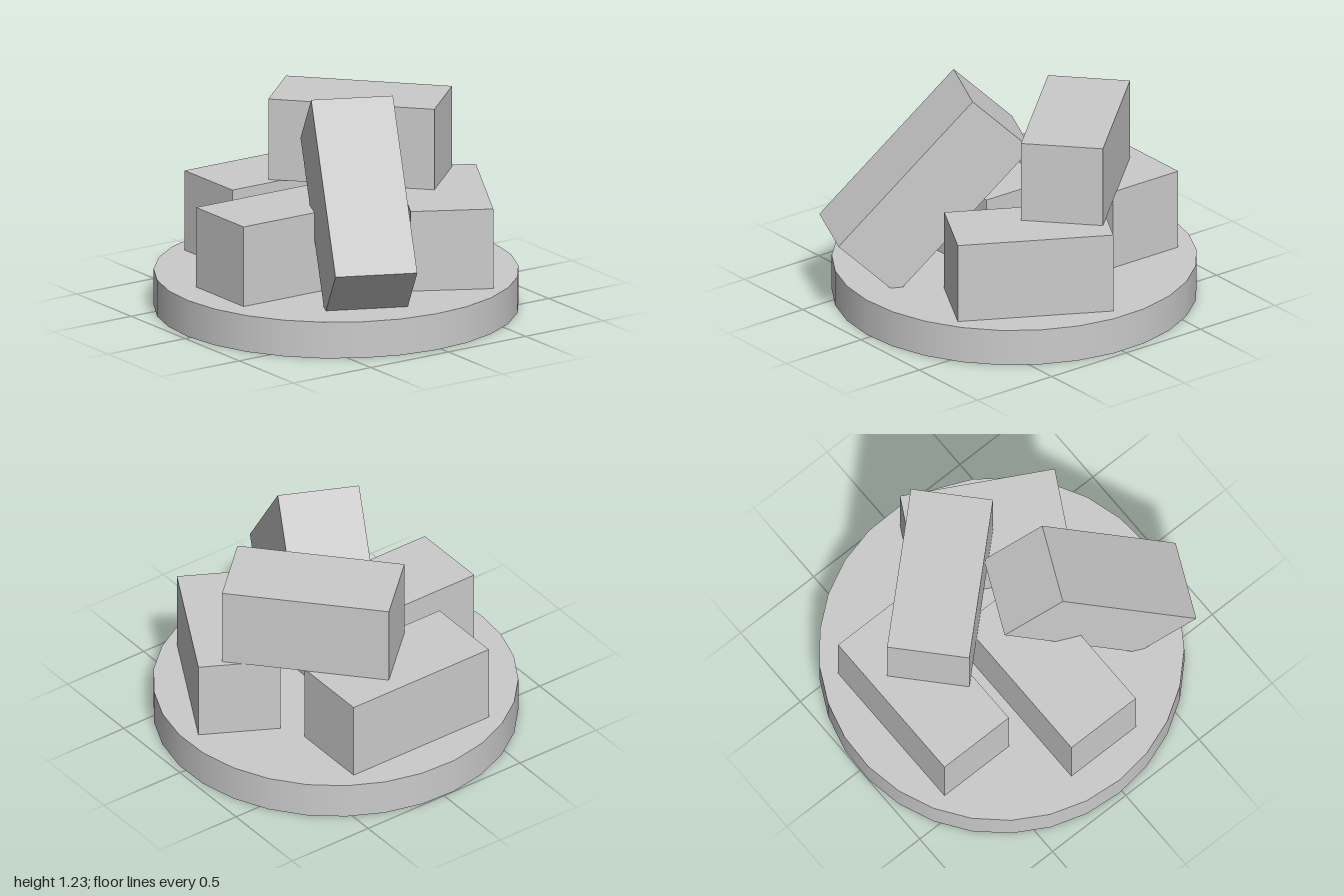
import * as THREE from 'three';

const material = new THREE.MeshStandardMaterial({ color: 0xcccccc });

// One rectangular block: size, centre, turn about y, then tilt about its own x
function block(name, size, centre, turn = 0, tilt = 0) {
  const mesh = new THREE.Mesh(new THREE.BoxGeometry(...size), material);
  mesh.name = name;
  mesh.position.set(...centre);
  mesh.rotation.set(tilt, turn, 0, 'YXZ');
  return mesh;
}

export function createModel() {
  const model = new THREE.Group();
  model.name = 'blockPile';

  // Round base slab
  const base = new THREE.Mesh(
    new THREE.CylinderGeometry(0.968, 0.968, 0.2, 29, 1, false, THREE.MathUtils.degToRad(-2.1)),
    material
  );
  base.name = 'base';
  base.position.set(0, 0.1, -0.033);
  model.add(base);

  // Three blocks lying flat on the base
  model.add(
    block('backBlock', [0.89, 0.44, 0.44], [-0.005, 0.42, -0.57]),
    block('rightBlock', [0.9, 0.44, 0.44], [-0.34, 0.42, 0.02]),
    block('leftBlock', [0.44, 0.44, 0.835], [0.49, 0.42, 0.255], -0.5)
  );

  // Block stacked across the lower ones
  model.add(block('topBlock', [0.44, 0.445, 0.9], [0.285, 0.8625, -0.22], 0.746));

  // Block leaning on the pile, its foot sunk in the base
  model.add(block('leaningBlock', [0.44, 0.44, 1.057], [-0.177, 0.7, 0.4285], -0.433, 0.809));

  return model;
}
